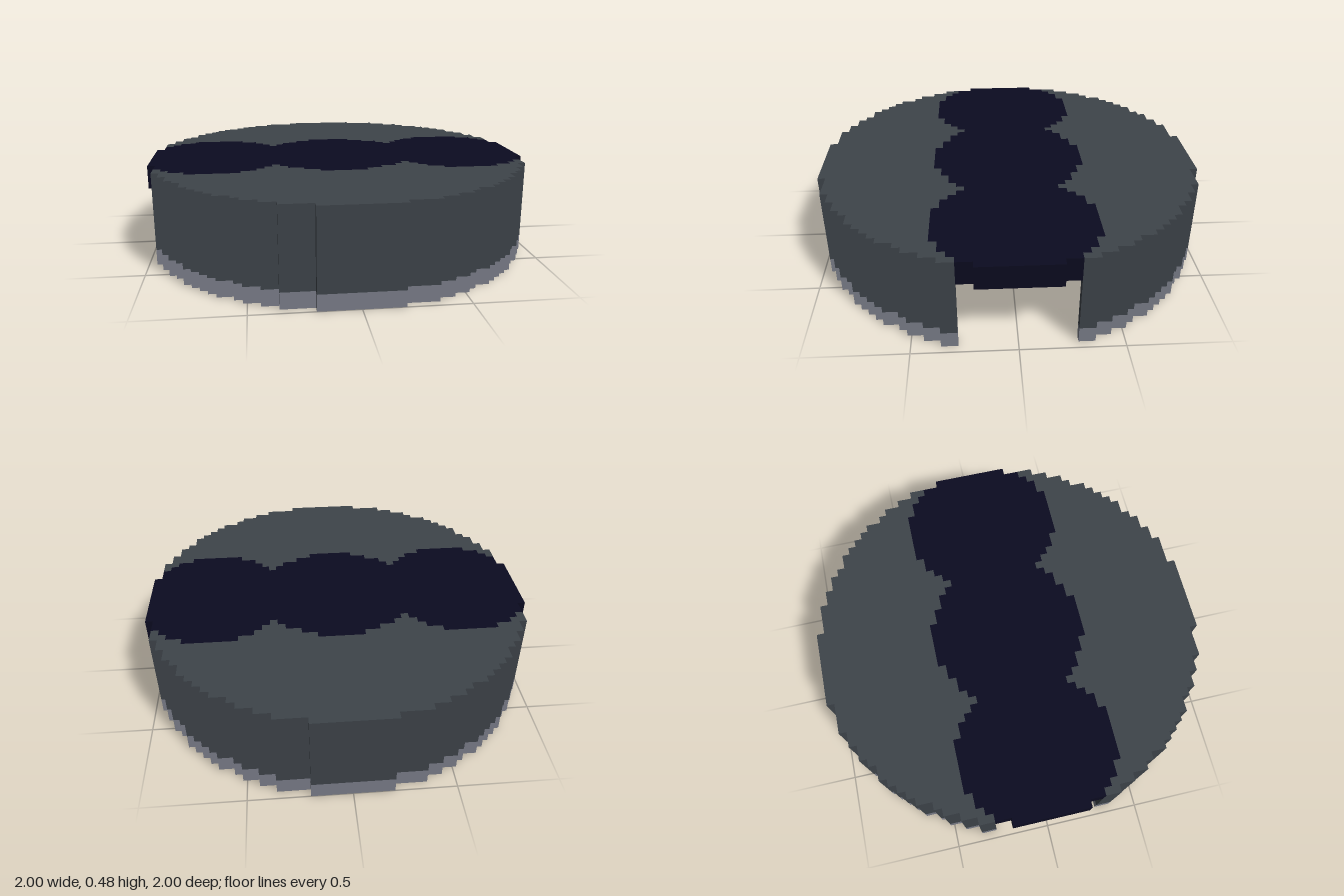
import * as THREE from 'three';

const CELL = 0.04;   // width of one block
const RADIUS = 25;   // disc radius in blocks
const LOBE = 10;     // radius of each channel lobe in blocks
const LOBE_X = 16.5; // centre of the outer lobes

// Number of blocks from the middle line to a stepped circle, d blocks from its centre
function steps(d, r) {
  return d > r ? 0 : Math.max(0, Math.floor(Math.sqrt(r * r - d * d) + 0.5));
}
const disc = (i) => steps(i + 0.5, RADIUS);
const channel = (i) => {
  const x = Math.abs(i + 0.5);
  return Math.min(disc(i), Math.max(steps(x, LOBE), steps(Math.abs(x - LOBE_X), LOBE)));
};

// Stepped line over the columns from..to, without points along straight runs
function stair(height, from, to) {
  const pts = [];
  for (let i = from; i <= to; i++) {
    const h = height(i);
    if (i === from || h !== height(i - 1)) pts.push(new THREE.Vector2(i * CELL, h * CELL));
    if (i === to || h !== height(i + 1)) pts.push(new THREE.Vector2((i + 1) * CELL, h * CELL));
  }
  return pts;
}

// Flat plate between two stepped lines, standing from y0 to y1
function plate(name, lower, upper, reach, y0, y1, material) {
  const outline = [...stair(lower, -reach, reach - 1), ...stair(upper, -reach, reach - 1).reverse()];
  const geometry = new THREE.ExtrudeGeometry(new THREE.Shape(outline), { depth: y1 - y0, bevelEnabled: false });
  geometry.rotateX(-Math.PI / 2);
  geometry.translate(0, y0, 0);
  const mesh = new THREE.Mesh(geometry, material);
  mesh.name = name;
  return mesh;
}

export function createModel() {
  const stone = new THREE.MeshStandardMaterial({ color: 0x3e444a });
  stone.name = 'dark grey';
  const base = new THREE.MeshStandardMaterial({ color: 0x7b7e8a });
  base.name = 'light grey';
  const navy = new THREE.MeshStandardMaterial({ color: 0x0b0b20 });
  navy.name = 'navy';

  const model = new THREE.Group();
  model.name = 'channelledDisc';

  // The two banks, each a tall block on a pale foot
  for (const [side, name] of [[1, 'back'], [-1, 'front']]) {
    const inner = (i) => side * channel(i);
    const outer = (i) => side * disc(i);
    const [low, high] = side > 0 ? [inner, outer] : [outer, inner];
    const bank = new THREE.Group();
    bank.name = name + 'Bank';
    bank.add(plate(name + 'Foot', low, high, 24, 0, 0.08, base));
    bank.add(plate(name + 'Block', low, high, 24, 0.08, 0.48, stone));
    model.add(bank);
  }

  // Lobed slab bridging the channel
  model.add(plate('channelSlab', (i) => -channel(i), channel, 25, 0.36, 0.48, navy));
  return model;
}
